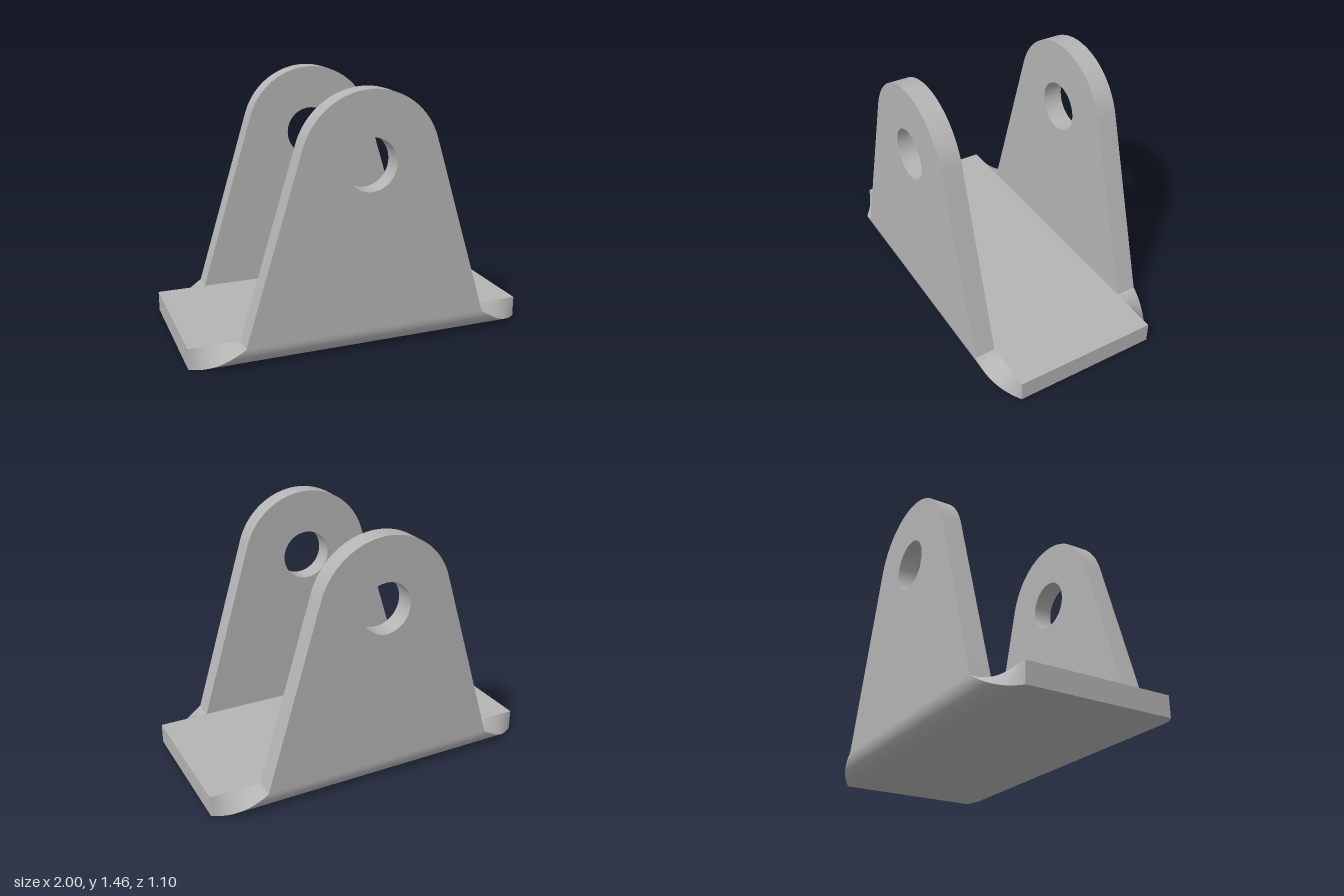
import * as THREE from 'three';
import { toCreasedNormals } from 'three/addons/utils/BufferGeometryUtils.js';

const T = 0.12;        // sheet thickness
const INNER = 0.428;   // inner face of the ears
const FOOT = 0.71;     // half width of an ear at its foot
const HOLE_Y = 1.06;

// Upright ear with rounded top and pin hole
function earGeometry() {
  const r = 0.403, a = 0.3; // top radius and angle where the straight sides meet it
  const shape = new THREE.Shape();
  shape.moveTo(-FOOT, T);
  shape.lineTo(FOOT, T);
  shape.absarc(0, HOLE_Y, r, a, Math.PI - a, false);
  shape.closePath();
  const hole = new THREE.Path();
  hole.absarc(0, HOLE_Y, 0.148, 0, Math.PI * 2, true);
  shape.holes.push(hole);
  const g = new THREE.ExtrudeGeometry(shape, { depth: T, bevelEnabled: false, curveSegments: 40 });
  g.translate(0, 0, INNER);
  return toCreasedNormals(g, 0.25);
}

// Quarter-round bend narrowing from the full plate length to the ear foot
function bendGeometry() {
  const n = 20, pos = [], index = [];
  for (let i = 0; i <= n; i++) {
    const t = i / n, a = t * Math.PI / 2;
    const x = 1 - (1 - FOOT) * t;
    const y = T - T * Math.cos(a), z = INNER + T * Math.sin(a);
    pos.push(-x, y, z, x, y, z);                             // outer skin
    pos.push(x, T, INNER, x, y, z, -x, T, INNER, -x, y, z);  // twisted ends
    if (i === n) break;
    const p = i * 6, q = p + 6;
    index.push(p, p + 1, q + 1, p, q + 1, q);
    index.push(p + 2, q + 3, p + 3, p + 2, q + 2, q + 3);
    index.push(p + 4, p + 5, q + 5, p + 4, q + 5, q + 4);
  }
  const g = new THREE.BufferGeometry();
  g.setAttribute('position', new THREE.Float32BufferAttribute(pos, 3));
  g.setIndex(index);
  g.computeVertexNormals();
  return g;
}

export function createModel() {
  const group = new THREE.Group();
  group.name = 'clevisBracket';
  const steel = new THREE.MeshStandardMaterial({ color: 0xb4b4b4 });
  steel.name = 'greySteel';
  steel.side = THREE.DoubleSide;

  const base = new THREE.Mesh(new THREE.BoxGeometry(2, T, INNER * 2), steel);
  base.name = 'basePlate';
  base.position.y = T / 2;
  group.add(base);

  // Matching front and back flanges
  const ear = earGeometry(), bend = bendGeometry();
  for (const side of ['front', 'back']) {
    const flange = new THREE.Group();
    flange.name = side + 'Flange';
    const earMesh = new THREE.Mesh(ear, steel);
    earMesh.name = side + 'Ear';
    const bendMesh = new THREE.Mesh(bend, steel);
    bendMesh.name = side + 'Bend';
    flange.add(earMesh, bendMesh);
    if (side === 'back') flange.rotation.y = Math.PI;
    group.add(flange);
  }
  return group;
}
